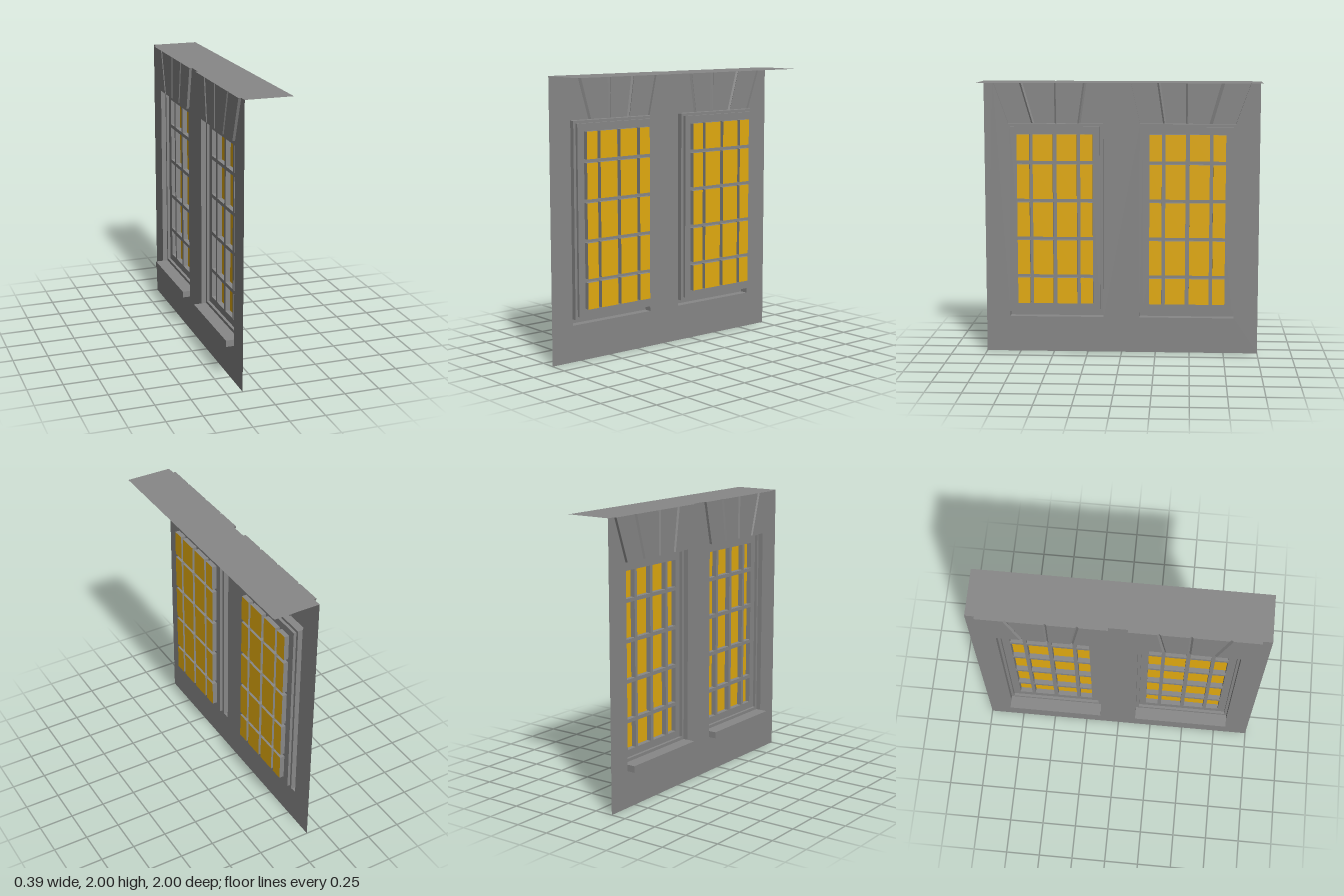
import * as THREE from 'three';

const grey = new THREE.MeshStandardMaterial({ color: 0x888888, side: THREE.DoubleSide, flatShading: true });
const amber = new THREE.MeshStandardMaterial({ color: 0xe4ac10, side: THREE.DoubleSide, flatShading: true });

const WALL = -0.137, FRAME = -0.102, SASH = -0.082, GLASS = -0.047;
const SILL = -0.195, HOOD = -0.156, GROOVE = -0.145, LEDGE = 0.195;
const Z0 = 0.133, Z1 = 0.826;        // window opening, across
const Y0 = 0.308, Y1 = 1.693;        // window opening, up
const SILL_Y = 0.262, HOOD_Z0 = 0.064, HOOD_Z1 = 0.936;

const rect = (z0, z1, y0, y1) => [[z0, y0], [z1, y0], [z1, y1], [z0, y1]];
const toVectors = pts => pts.map(p => new THREE.Vector2(...p));

function add(parent, name, geometry, material = grey) {
  const mesh = new THREE.Mesh(geometry, material);
  mesh.name = name;
  parent.add(mesh);
  return mesh;
}

// Flat panel of (z, y) points facing -x at depth x
function panel(pts, x, holes = []) {
  const shape = new THREE.Shape(toVectors(pts));
  shape.holes = holes.map(h => new THREE.Path(toVectors(h)));
  return new THREE.ShapeGeometry(shape).rotateY(-Math.PI / 2).translate(x, 0, 0);
}

// Geometry from a list of four-cornered faces
function quads(list) {
  const pos = [];
  for (const [a, b, c, d] of list) pos.push(...a, ...b, ...c, ...a, ...c, ...d);
  const g = new THREE.BufferGeometry();
  g.setAttribute('position', new THREE.Float32BufferAttribute(pos, 3));
  g.computeVertexNormals();
  return g;
}

// Side walls joining a closed (z, y) outline between two depths
function reveal(pts, xOut, xIn) {
  return quads(pts.map(([z, y], i) => {
    const [z2, y2] = pts[(i + 1) % pts.length];
    return [[xOut, y, z], [xOut, y2, z2], [xIn, y2, z2], [xIn, y, z]];
  }));
}

// Splayed lintel: one cross-section of [z at bottom, z at top, depth] with V joints
function hoodGeometry(s) {
  const section = [[Z1, HOOD_Z1, WALL], [Z1, HOOD_Z1, HOOD]];
  for (const [zb, zt] of [[0.647, 0.736], [0.477, 0.477], [0.311, 0.266]]) {
    section.push([zb + 0.012, zt + 0.013, HOOD], [zb, zt, GROOVE], [zb - 0.012, zt - 0.013, HOOD]);
  }
  section.push([Z0, HOOD_Z0, HOOD], [Z0, HOOD_Z0, WALL]);
  const faces = [];
  for (let i = 0; i < section.length - 1; i++) {
    const [b1, t1, x1] = section[i], [b2, t2, x2] = section[i + 1];
    faces.push([[x1, Y1, s * b1], [x2, Y1, s * b2], [x2, 2, s * t2], [x1, 2, s * t1]]);
    if (b1 !== b2) {
      faces.push([[x1, 2, s * t1], [x2, 2, s * t2], [WALL, 2, s * t2], [WALL, 2, s * t1]]);
      faces.push([[x1, Y1, s * b1], [WALL, Y1, s * b1], [WALL, Y1, s * b2], [x2, Y1, s * b2]]);
    }
  }
  // Keep the faces outward on both sides
  return quads(s > 0 ? faces.map(f => [...f].reverse()) : faces);
}

function windowUnit(s) {
  const g = new THREE.Group();
  g.name = s > 0 ? 'leftWindow' : 'rightWindow';
  const side = (z0, z1, y0, y1) => s > 0 ? rect(z0, z1, y0, y1) : rect(-z1, -z0, y0, y1);

  // Stepped frame
  const outer = side(Z0, Z1, Y0, Y1);
  const inner = side(0.155, 0.807, 0.33, 1.674);
  add(g, 'outerReveal', reveal(outer, WALL, FRAME));
  add(g, 'frameFace', panel(outer, FRAME, [inner]));
  add(g, 'innerReveal', reveal(inner, FRAME, SASH));

  // Grid of glazing bars and deep-set panes
  const columns = [[0.205, 0.294], [0.32, 0.465], [0.494, 0.638], [0.663, 0.753]];
  const rows = [[0.382, 0.571], [0.597, 0.849], [0.875, 1.127], [1.153, 1.404], [1.43, 1.62]];
  const panes = rows.flatMap(r => columns.map(c => side(...c, ...r)));
  add(g, 'glazingBars', panel(inner, SASH, panes));
  for (const p of panes) {
    add(g, 'paneReveal', reveal(p, SASH, GLASS));
    add(g, 'pane', panel(p, GLASS), amber);
  }

  // Projecting sill, open at the back
  const sill = side(Z0, Z1, SILL_Y, Y0);
  add(g, 'sillSides', reveal(sill, SILL, WALL));
  add(g, 'sillFront', panel(sill, SILL));

  add(g, 'hood', hoodGeometry(s));
  return g;
}

export function createModel() {
  const model = new THREE.Group();
  model.name = 'windowWall';

  // Wall sheet, notched around each hood, window and sill
  const notch = [[HOOD_Z1, 2], [Z1, Y1], [Z1, SILL_Y], [Z0, SILL_Y], [Z0, Y1], [HOOD_Z0, 2]];
  const mirrored = notch.map(([z, y]) => [-z, y]).reverse();
  add(model, 'wall', panel([[-1, 0], [1, 0], [1, 2], ...notch, ...mirrored, [-1, 2]], WALL));

  // Flat ledge running back from the wall top
  const ledge = new THREE.PlaneGeometry(LEDGE - WALL, 2).rotateX(-Math.PI / 2);
  add(model, 'topLedge', ledge).position.set((LEDGE + WALL) / 2, 2, 0);

  for (const s of [1, -1]) model.add(windowUnit(s));
  return model;
}
